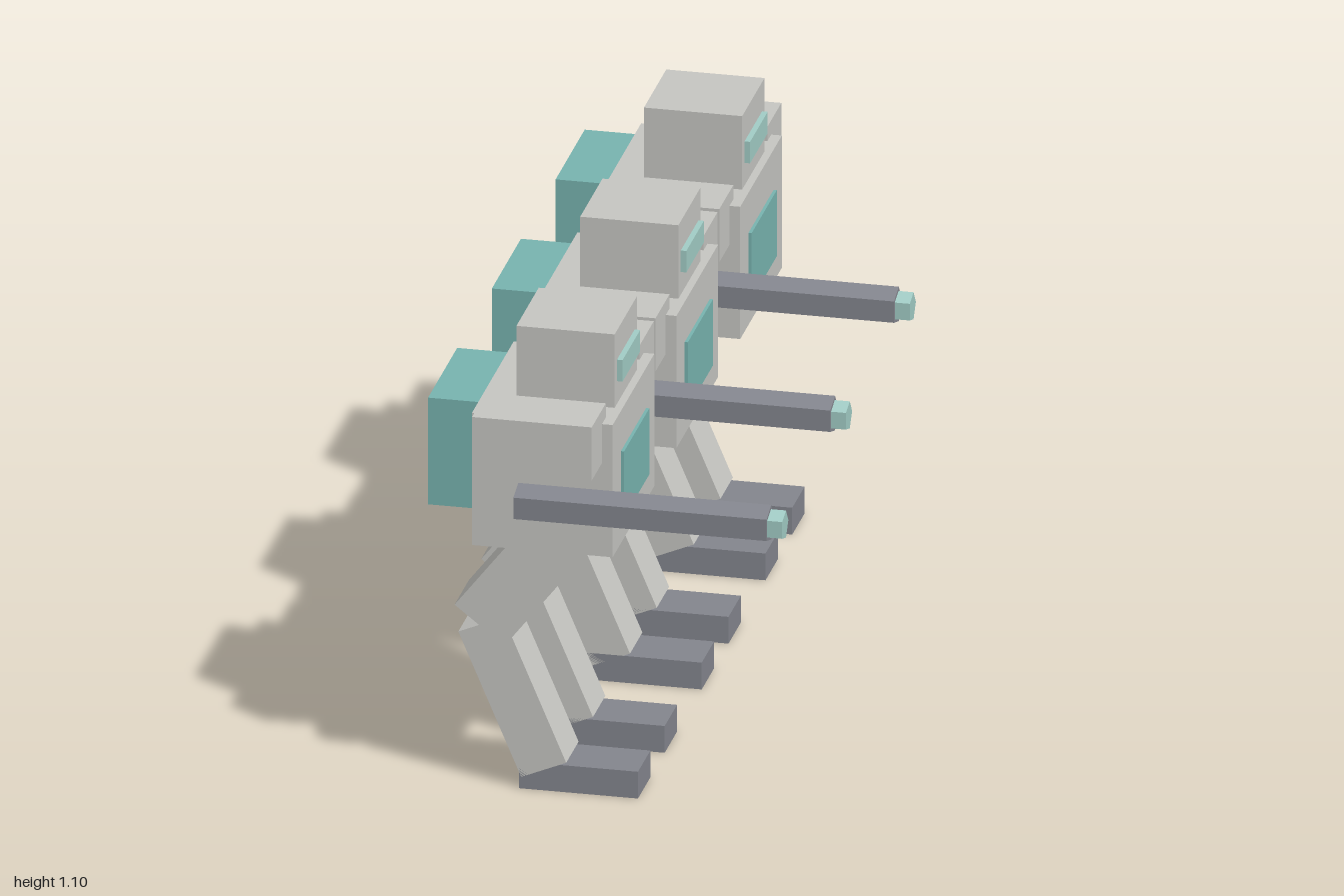
import * as THREE from 'three';

const paint = (name, color) => {
  const m = new THREE.MeshStandardMaterial({ color, flatShading: true });
  m.name = name;
  return m;
};

export function createModel() {
  const armour = paint('light grey armour', 0xc6c6c2);
  const teal = paint('teal panel', 0x78b4b0);
  const glow = paint('pale teal glow', 0xa2cdc6);
  const steel = paint('dark steel', 0x84868e);

  // Box given by its x, y and z ranges
  const box = (name, mat, [x0, x1], [y0, y1], [z0, z1]) => {
    const mesh = new THREE.Mesh(new THREE.BoxGeometry(x1 - x0, y1 - y0, z1 - z0), mat);
    mesh.position.set((x0 + x1) / 2, (y0 + y1) / 2, (z0 + z1) / 2);
    mesh.name = name;
    return mesh;
  };

  // Leg segment: box tilted in the x-y plane
  const limb = (name, x, y, z, width, length, depth, degrees) => {
    const mesh = new THREE.Mesh(new THREE.BoxGeometry(width, length, depth), armour);
    mesh.position.set(x, y, z);
    mesh.rotation.z = THREE.MathUtils.degToRad(degrees);
    mesh.name = name;
    return mesh;
  };

  // Five-sided bar along x with one edge pointing to -z
  const bar = (name, mat, r, x0, x1) => {
    const geo = new THREE.CylinderGeometry(r, r, x1 - x0, 5, 1, false, Math.PI);
    geo.rotateZ(-Math.PI / 2);
    const mesh = new THREE.Mesh(geo, mat);
    mesh.position.set((x0 + x1) / 2, 0.758, 0.327);
    mesh.name = name;
    return mesh;
  };

  const makeWalker = () => {
    const walker = new THREE.Group();
    walker.add(
      // Torso, head and backpack
      box('torso', armour, [-0.32, 0.008], [0.595, 0.921], [-0.215, 0.215]),
      box('head', armour, [-0.239, -0.01], [0.921, 1.102], [-0.115, 0.115]),
      box('backpack', teal, [-0.437, -0.32], [0.658, 0.921], [-0.15, 0.15]),
      // Front plates
      box('visor', glow, [-0.01, 0.003], [0.977, 1.03], [-0.091, 0.091]),
      box('chestPanel', teal, [0.008, 0.0155], [0.659, 0.822], [-0.13, 0.13]),
      // Gun beside the shoulder
      bar('gunBarrel', steel, 0.0447, -0.19, 0.4),
      bar('gunMuzzle', glow, 0.035, 0.4, 0.435)
    );
    // Paired shoulders and legs
    for (const s of [-1, 1]) {
      const across = (a, b) => (s > 0 ? [a, b] : [-b, -a]);
      walker.add(
        box('shoulder', armour, [-0.296, -0.017], [0.825, 0.956], across(0.175, 0.3205)),
        limb('thigh', -0.2045, 0.524, s * 0.138, 0.1475, 0.32, 0.15, -38),
        limb('shin', -0.229, 0.223, s * 0.138, 0.114, 0.375, 0.128, 23),
        box('foot', steel, [-0.213, 0.064], [0, 0.066], across(0.074, 0.202))
      );
    }
    return walker;
  };

  // Row of three identical walkers facing +x
  const model = new THREE.Group();
  model.name = 'walkerSquad';
  [-0.679, -0.021, 0.637].forEach((z, i) => {
    const walker = makeWalker();
    walker.name = `walker${i + 1}`;
    walker.position.z = z;
    model.add(walker);
  });
  return model;
}
